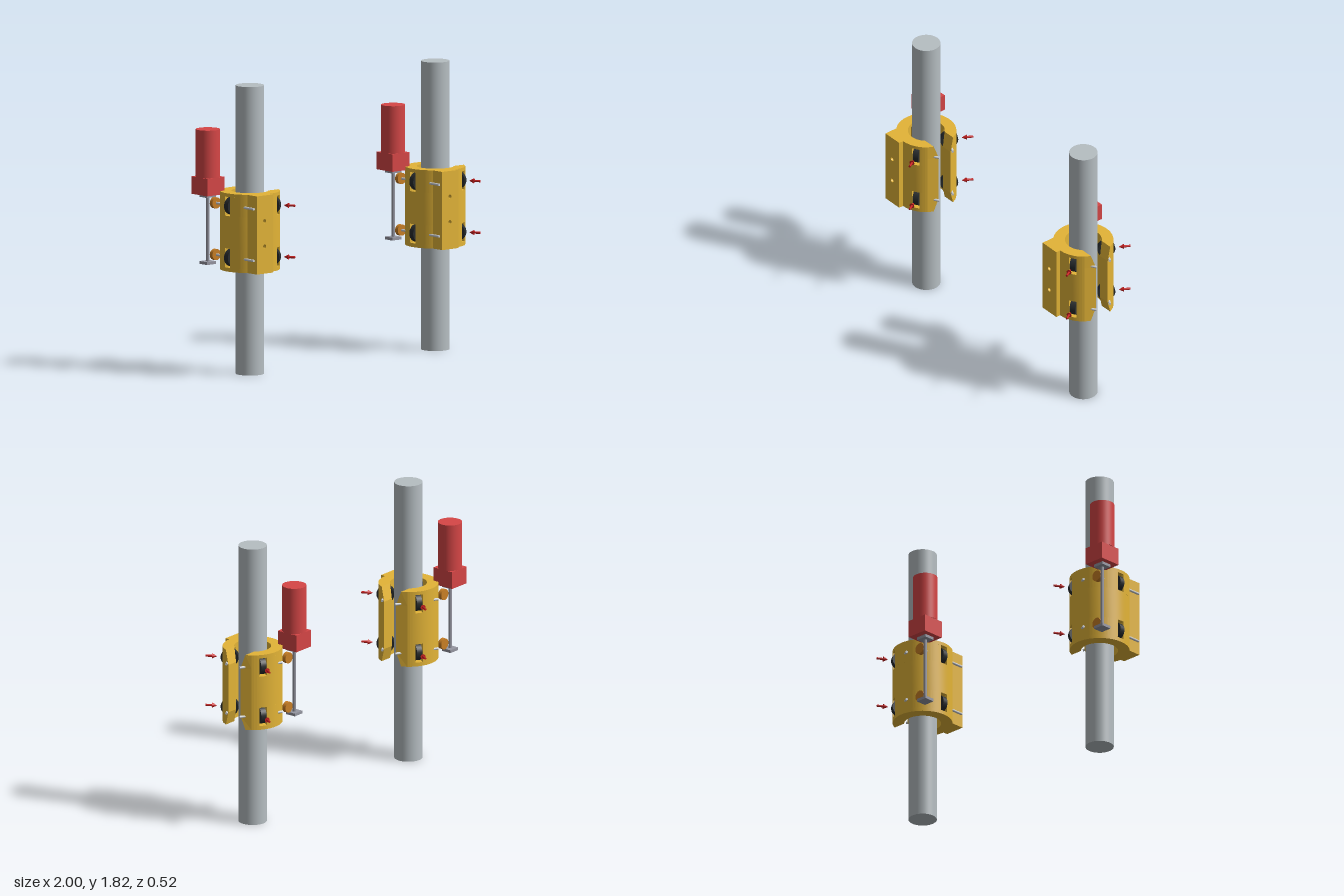
import * as THREE from 'three';
import { toCreasedNormals } from 'three/addons/utils/BufferGeometryUtils.js';

const mat = (name, color) => {
  const m = new THREE.MeshStandardMaterial({ color });
  m.name = name;
  return m;
};
const gold = mat('gold', 0xe3b437);
const red = mat('motor red', 0xd64646);
const grey = mat('pole grey', 0xb6bec2);
const steel = mat('steel', 0xcdd0d4);
const bracket = mat('bracket grey', 0x9697a2);
const black = mat('rubber black', 0x272b2d);
const orange = mat('gear orange', 0xc97f25);
const arrowRed = mat('arrow red', 0xc82020);

const R = 0.187, RI = 0.115;          // clamp ring radii
const Y0 = 0.66, Y1 = 1.152;          // clamp bottom and top
const WHEEL_Y = [0.745, 1.07];
const OPEN = 47, HALF_SLOT = 0.025;   // mouth half angle, slot half width
const rad = THREE.MathUtils.degToRad;

function add(parent, name, geo, material, x = 0, y = 0, z = 0) {
  const m = new THREE.Mesh(geo, material);
  m.name = name;
  m.position.set(x, y, z);
  parent.add(m);
  return m;
}
const cyl = (r, h, n = 32) => new THREE.CylinderGeometry(r, r, h, n);
const box = (x, y, z) => new THREE.BoxGeometry(x, y, z);

// Ring piece between outer angles o0..o1 and inner angles i0..i1 (degrees)
function ringPiece(parent, o0, o1, i0, i1, y0, y1) {
  const s = new THREE.Shape();
  s.absarc(0, 0, R, rad(o0), rad(o1), false);
  s.absarc(0, 0, RI, rad(i1), rad(i0), true);
  const g = new THREE.ExtrudeGeometry(s, { depth: y1 - y0, bevelEnabled: false, curveSegments: 40 });
  g.rotateX(-Math.PI / 2);
  add(parent, 'clampRing', toCreasedNormals(g, 0.5), gold, 0, y0, 0);
}

// Jaw beside the mouth: lofted sections whose inner face flares at both ends
function jawGeometry(side) {
  const polar = (r, a) => [r * Math.cos(rad(a)), r * Math.sin(rad(a))];
  const section = (y, z) => {
    const p = [polar(R, OPEN), polar(R, 42), polar(R, 37),
      [0.154 + (0.112 - z) * 0.4, z],
      [Math.sqrt(RI * RI - z * z), z], polar(RI, OPEN)];
    return p.map(([a, b]) => new THREE.Vector3(a, y, b * side));
  };
  const rows = [section(Y0, 0.078), section(Y0 + 0.09, 0.048),
    section(Y1 - 0.09, 0.048), section(Y1, 0.078)];
  const pos = [];
  const tri = (a, b, c) => {
    for (const v of side > 0 ? [a, b, c] : [a, c, b]) pos.push(v.x, v.y, v.z);
  };
  const n = rows[0].length;
  for (let r = 0; r < rows.length - 1; r++) {
    for (let i = 0; i < n; i++) {
      const j = (i + 1) % n, lo = rows[r], hi = rows[r + 1];
      tri(lo[i], lo[j], hi[j]);
      tri(lo[i], hi[j], hi[i]);
    }
  }
  const top = rows[rows.length - 1], bot = rows[0];
  for (let i = 1; i < n - 1; i++) {
    tri(top[0], top[i], top[i + 1]);
    tri(bot[0], bot[i + 1], bot[i]);
  }
  const g = new THREE.BufferGeometry();
  g.setAttribute('position', new THREE.Float32BufferAttribute(pos, 3));
  g.computeVertexNormals();
  return g;
}

// Front mounting block with two screw holes
function blockGeometry() {
  const s = new THREE.Shape();
  s.moveTo(-0.134, Y0).lineTo(0, Y0).lineTo(0, Y1).lineTo(-0.134, Y1).closePath();
  for (const y of [0.83, 0.99]) {
    const hole = new THREE.Path();
    hole.absarc(-0.07, y, 0.013, 0, Math.PI * 2, true);
    s.holes.push(hole);
  }
  return new THREE.ExtrudeGeometry(s, { depth: 0.093, bevelEnabled: false, curveSegments: 12 });
}

function clamp() {
  const g = new THREE.Group();
  g.name = 'clamp';
  // Plain bands above, between and below the wheel slots
  const h = 0.06;
  const edges = [Y0, WHEEL_Y[0] - h, WHEEL_Y[0] + h, WHEEL_Y[1] - h, WHEEL_Y[1] + h, Y1];
  const so = THREE.MathUtils.radToDeg(Math.asin(HALF_SLOT / R));
  const si = THREE.MathUtils.radToDeg(Math.asin(HALF_SLOT / RI));
  for (let i = 0; i < 5; i++) {
    const a = edges[i], b = edges[i + 1];
    if (i % 2 === 0) {
      ringPiece(g, OPEN, 360 - OPEN, OPEN, 360 - OPEN, a, b);
    } else {
      ringPiece(g, OPEN, 60 - so, OPEN, 60 - si, a, b);
      ringPiece(g, 60 + so, 180 - so, 60 + si, 180 - si, a, b);
      ringPiece(g, 180 + so, 300 - so, 180 + si, 300 - si, a, b);
      ringPiece(g, 300 + so, 360 - OPEN, 300 + si, 360 - OPEN, a, b);
    }
  }
  for (const s of [1, -1]) add(g, 'jaw', jawGeometry(s), gold);
  add(g, 'mountingBlock', blockGeometry(), gold, 0, 0, 0.125);
  return g;
}

// Wheel, axle and drive gear or pointer at one angle around the pole
function wheelStation(angle, y) {
  const g = new THREE.Group();
  g.name = 'wheelStation';
  g.position.y = y;
  g.rotation.y = -rad(angle);
  const driven = angle === 180;
  add(g, 'wheel', cyl(0.056, 0.036, 36), black, 0.143).rotation.x = Math.PI / 2;
  const axle = add(g, 'axle', cyl(0.008, driven ? 0.365 : 0.285, 16), steel, 0.143, 0, driven ? -0.0175 : 0);
  axle.rotation.x = Math.PI / 2;
  if (driven) {
    add(g, 'driveGear', cyl(0.035, 0.026, 28), orange, 0.143, 0, 0.163).rotation.x = Math.PI / 2;
  } else {
    add(g, 'arrowHead', new THREE.ConeGeometry(0.016, 0.032, 16), arrowRed, 0.239).rotation.z = Math.PI / 2;
    add(g, 'arrowShaft', cyl(0.007, 0.042, 12), arrowRed, 0.275).rotation.z = Math.PI / 2;
  }
  return g;
}

// Motor, gearbox and drive shaft beside the clamp
function drive() {
  const g = new THREE.Group();
  g.name = 'drive';
  g.position.set(-0.194, 0, -0.176);
  add(g, 'motor', cyl(0.0755, 0.3, 40), red, 0, 1.388);
  add(g, 'gearbox', box(0.141, 0.11, 0.15), red, 0, 1.184);
  add(g, 'driveShaft', cyl(0.011, 0.42, 16), bracket, 0, 0.91);
  add(g, 'upperBracket', box(0.075, 0.018, 0.07), bracket, 0, 1.12);
  add(g, 'lowerBracket', box(0.075, 0.018, 0.07), bracket, 0, 0.698);
  return g;
}

export function createModel() {
  const model = new THREE.Group();
  model.name = 'poleClimbers';
  for (const x of [-0.731, 0.805]) {
    const unit = new THREE.Group();
    unit.name = 'poleUnit';
    unit.position.x = x;
    add(unit, 'pole', cyl(0.0885, 1.815, 48), grey, 0, 0.9075);
    unit.add(clamp(), drive());
    for (const a of [60, 180, 300]) for (const y of WHEEL_Y) unit.add(wheelStation(a, y));
    model.add(unit);
  }
  return model;
}
